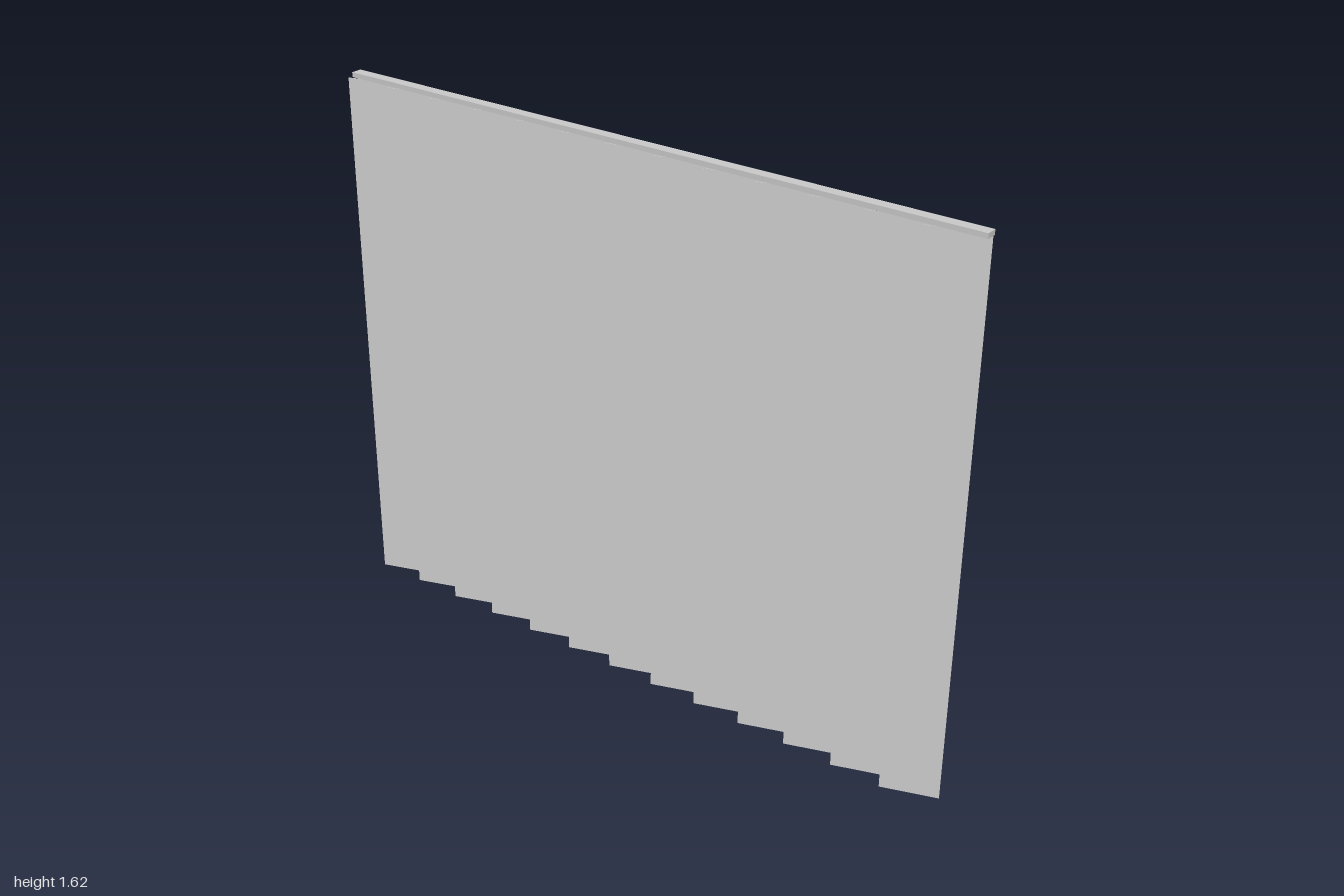
import * as THREE from 'three';

export function createModel() {
  const group = new THREE.Group();
  const material = new THREE.MeshStandardMaterial({ color: 0xcccccc, flatShading: true });

  // Head rail the slats hang from
  const rail = new THREE.Mesh(new THREE.BoxGeometry(0.032, 0.014, 1.993), material);
  rail.name = 'headRail';
  rail.position.set(0, 1.615, 0.0035);
  group.add(rail);

  // Row of thin vertical slats, all turned by the same angle
  const count = 13, spacing = 0.153, height = 1.608;
  const slatGeometry = new THREE.BoxGeometry(0.002, height, 0.162);
  for (let i = 0; i < count; i++) {
    const slat = new THREE.Mesh(slatGeometry, material);
    slat.name = `slat${i + 1}`;
    slat.position.set(0, height / 2, -0.003 + (i - (count - 1) / 2) * spacing);
    slat.rotation.y = 0.34;
    group.add(slat);
  }
  return group;
}
